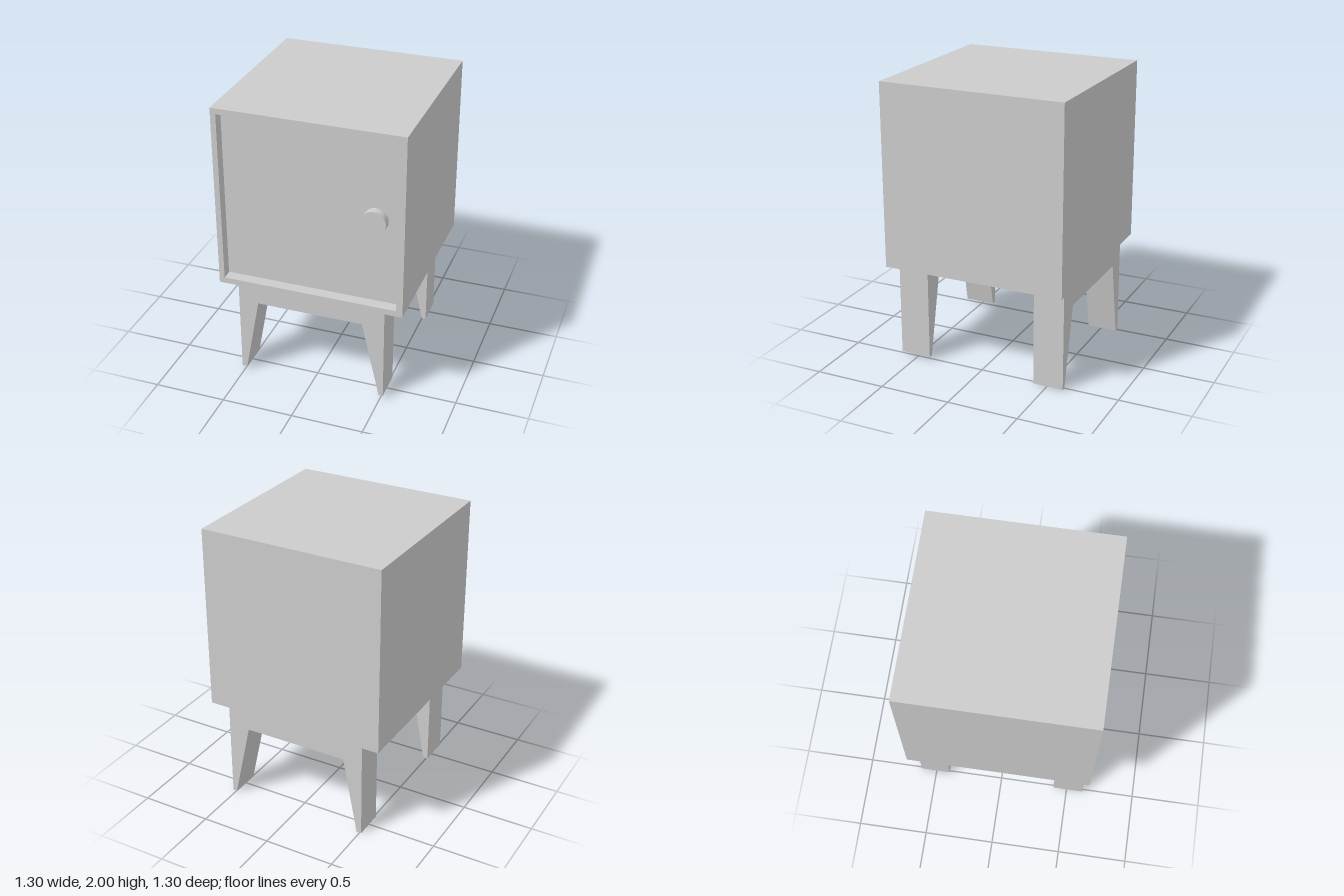
import * as THREE from 'three';

const material = new THREE.MeshStandardMaterial({ color: 0xcccccc, flatShading: true });

function polygon(points) {
  return new THREE.Shape(points.map(([x, y]) => new THREE.Vector2(x, y)));
}

// Extrudes a front-facing outline from z0 to z1
function slab(name, shape, z0, z1) {
  const geometry = new THREE.ExtrudeGeometry(shape, { depth: z1 - z0, bevelEnabled: false });
  geometry.translate(0, 0, z0);
  const mesh = new THREE.Mesh(geometry, material);
  mesh.name = name;
  return mesh;
}

function rect(x0, x1, y0, y1) {
  return polygon([[x0, y0], [x1, y0], [x1, y1], [x0, y1]]);
}

// Straight outer sides, tapered inner sides and a rail across the top
function legFrame(name, dx, foot, z0, z1) {
  const top = 0.71, rail = foot + 0.555;
  const outline = [
    [-0.52, foot], [-0.485, foot], [-0.38, rail], [0.365, rail],
    [0.49, foot], [0.52, foot], [0.52, top], [-0.52, top],
  ];
  return slab(name, polygon(outline.map(([x, y]) => [x + dx, y])), z0, z1);
}

export function createModel() {
  const model = new THREE.Group();
  model.name = 'bedsideCabinet';
  const half = 0.648;

  // Open-fronted case with its back panel
  const caseShape = rect(-half, half, 0.71, 2);
  caseShape.holes.push(rect(-0.61, 0.605, 0.752, 1.96));
  model.add(slab('caseShell', caseShape, -half + 0.04, half));
  model.add(slab('backPanel', rect(-half, half, 0.71, 2), -half, -half + 0.04));

  // Inset door with a narrow gap below and at one side
  model.add(slab('door', rect(-0.603, 0.605, 0.766, 1.96), 0.55, 0.59));

  // Round knob, flush with the front edge of the case
  const knob = new THREE.Mesh(
    new THREE.CylinderGeometry(0.083, 0.083, 0.055, 48),
    new THREE.MeshStandardMaterial({ color: 0xcccccc })
  );
  knob.name = 'knob';
  knob.rotation.x = Math.PI / 2;
  knob.position.set(0.44, 1.37, 0.6175);
  model.add(knob);

  // Front and back leg frames
  model.add(legFrame('frontLegFrame', -0.002, 0.02, 0.4, 0.62));
  model.add(legFrame('backLegFrame', 0.008, 0, -0.615, -0.4));

  return model;
}
